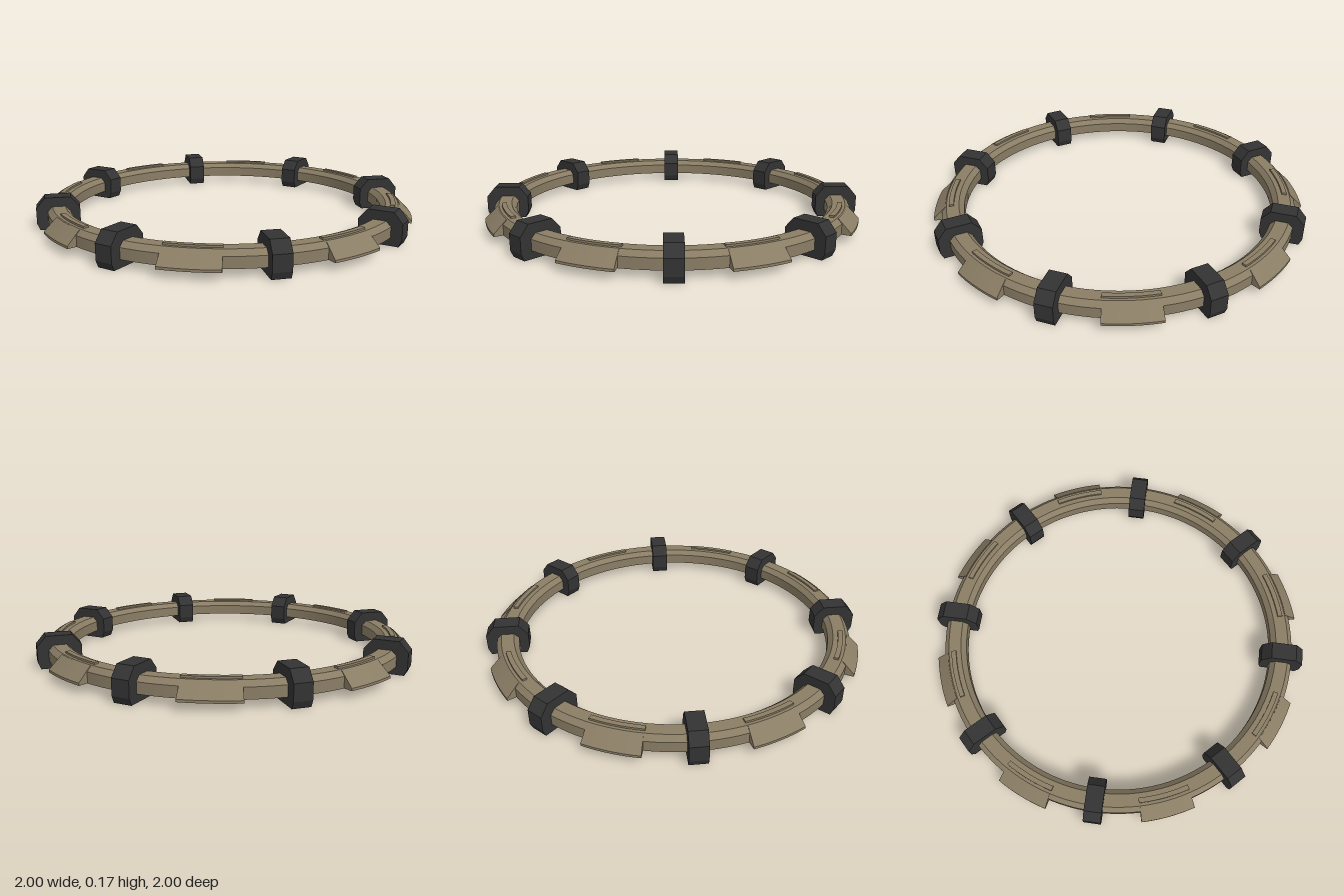
import * as THREE from 'three';
import { toCreasedNormals } from 'three/addons/utils/BufferGeometryUtils.js';

const bronze = new THREE.MeshStandardMaterial({ color: 0x8a7d65 });
bronze.name = 'dull bronze';
const charcoal = new THREE.MeshStandardMaterial({ color: 0x333333 });
charcoal.name = 'charcoal';

// Profiles are [radius, height] points, counter-clockwise
const profileShape = (points) => new THREE.Shape(points.map(([r, y]) => new THREE.Vector2(r, y)));

// Sweeps a profile around the vertical axis over an angle centred on +z
function sweep(points, angle, steps) {
  const geometry = new THREE.ExtrudeGeometry(profileShape(points), { depth: 1, steps, bevelEnabled: false });
  const p = geometry.attributes.position;
  for (let i = 0; i < p.count; i++) {
    const r = p.getX(i), a = (0.5 - p.getZ(i)) * angle;
    p.setXYZ(i, r * Math.sin(a), p.getY(i), r * Math.cos(a));
  }
  return toCreasedNormals(geometry, 0.4);
}

export function createModel() {
  const model = new THREE.Group();
  model.name = 'segmentedRing';

  const add = (name, geometry, material, angle = 0) => {
    const mesh = new THREE.Mesh(geometry, material);
    mesh.name = name;
    mesh.rotation.y = angle;
    model.add(mesh);
  };

  // Main ring with chamfered upper edges
  add('ring', sweep([
    [0.835, 0.04], [0.95, 0.04], [0.95, 0.095], [0.925, 0.12], [0.86, 0.12], [0.835, 0.095],
  ], Math.PI * 2, 128), bronze);

  // Sloped outer flanges and raised top strips
  const flange = sweep([[0.93, 0.0405], [0.998, 0.0405], [0.998, 0.053], [0.93, 0.119]], 0.284, 12);
  const strip = sweep([[0.885, 0.11], [0.91, 0.11], [0.91, 0.13], [0.885, 0.13]], 0.292, 12);

  // Chamfered block clamp, centred across its width
  const width = 0.09;
  const clamp = new THREE.ExtrudeGeometry(profileShape([
    [0.80, 0], [0.99, 0], [1.005, 0.035], [1.005, 0.115],
    [0.96, 0.168], [0.83, 0.168], [0.785, 0.115], [0.785, 0.035],
  ]), { depth: width, bevelEnabled: false });
  clamp.translate(0, 0, -width / 2);

  for (let i = 0; i < 8; i++) {
    const angle = i * Math.PI / 4;
    add('outerFlange', flange, bronze, angle);
    add('topStrip', strip, bronze, angle);
    add('clamp', clamp, charcoal, angle + Math.PI / 8);
  }
  return model;
}
